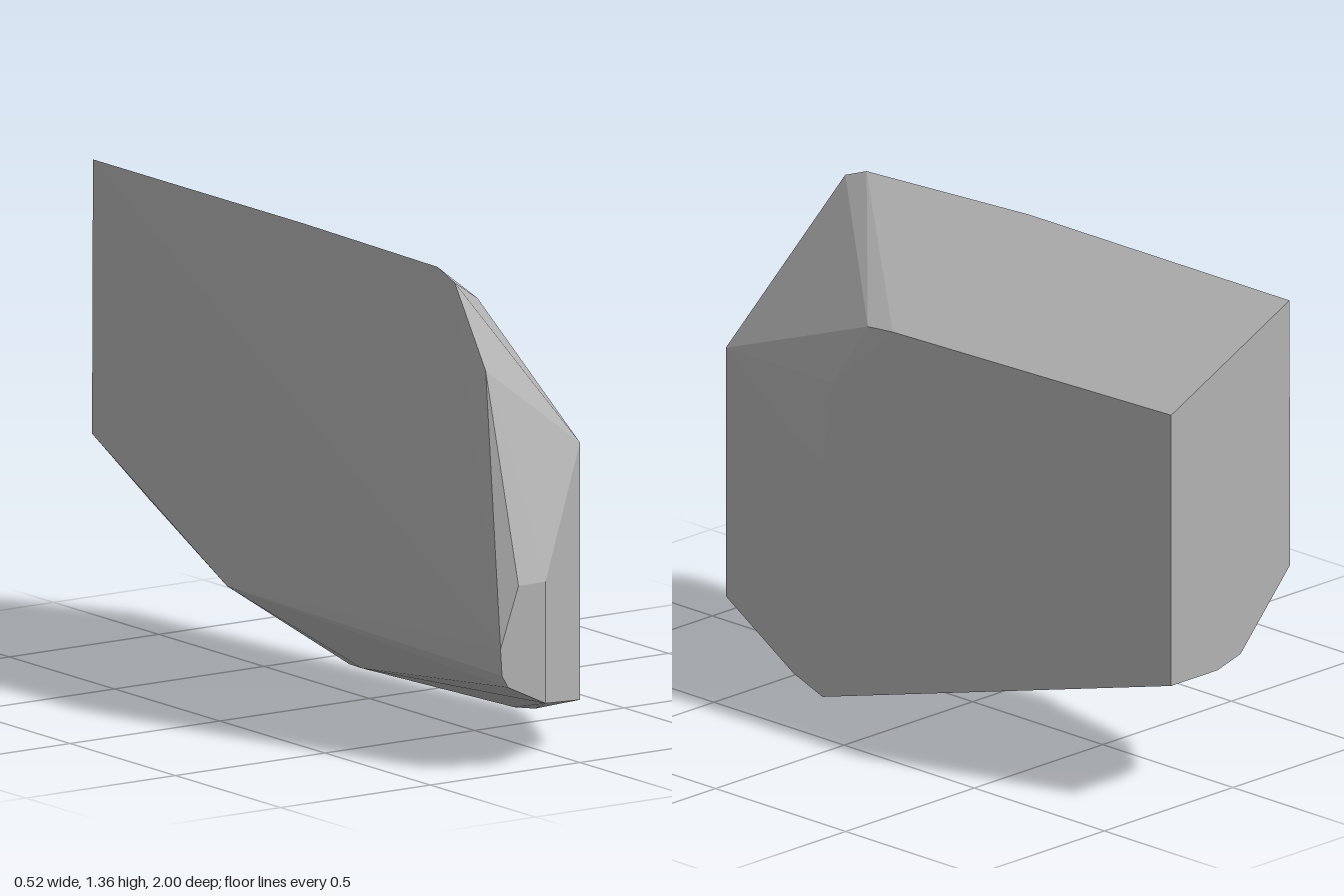
import * as THREE from 'three';
import { ConvexGeometry } from 'three/addons/geometries/ConvexGeometry.js';

export function createModel() {
  const group = new THREE.Group();
  group.name = 'chamferedBlock';

  const grey = new THREE.MeshStandardMaterial({ color: 0xb4b4b4 });
  grey.name = 'plain grey';

  // Corners of the faceted solid, grouped by region
  const corners = {
    backFace: [
      [0.24, 1.14, -1], [-0.22, 1.357, -1], [-0.223, 0.59, -1],
      [-0.03, 0.38, -1], [0.06, 0.355, -1], [0.24, 0.355, -1],
    ],
    topRidge: [
      [-0.22, 1.357, 0], [-0.195, 1.34, 0.6], [-0.193, 1.31, 0.68], [-0.195, 1.09, 0.83],
    ],
    noseFace: [
      [-0.205, 0.52, 1], [-0.115, 0.52, 1], [-0.115, 0.18, 1],
      [-0.24, 0.24, 1], [-0.26, 0.275, 1], [-0.265, 0.35, 1],
    ],
    frontCorner: [[0.12, 0.85, 0.83], [0.12, 0.13, 0.83]],
    outerSide: [
      [0.26, 1.125, 0.05], [0.256, 1.115, 0.15], [0.26, 0.92, 0.28], [0.26, 0.68, 0.32],
      [0.23, 0.72, 0.46], [0.23, 0.025, 0.46], [0.26, 0, 0.32],
    ],
    underside: [[-0.11, 0.12, 0.12], [-0.03, 0.09, -0.05], [-0.236, 0.283, -0.34]],
  };

  const points = Object.values(corners).flat().map((p) => new THREE.Vector3(...p));
  const body = new THREE.Mesh(new ConvexGeometry(points), grey);
  body.name = 'body';
  group.add(body);
  return group;
}
